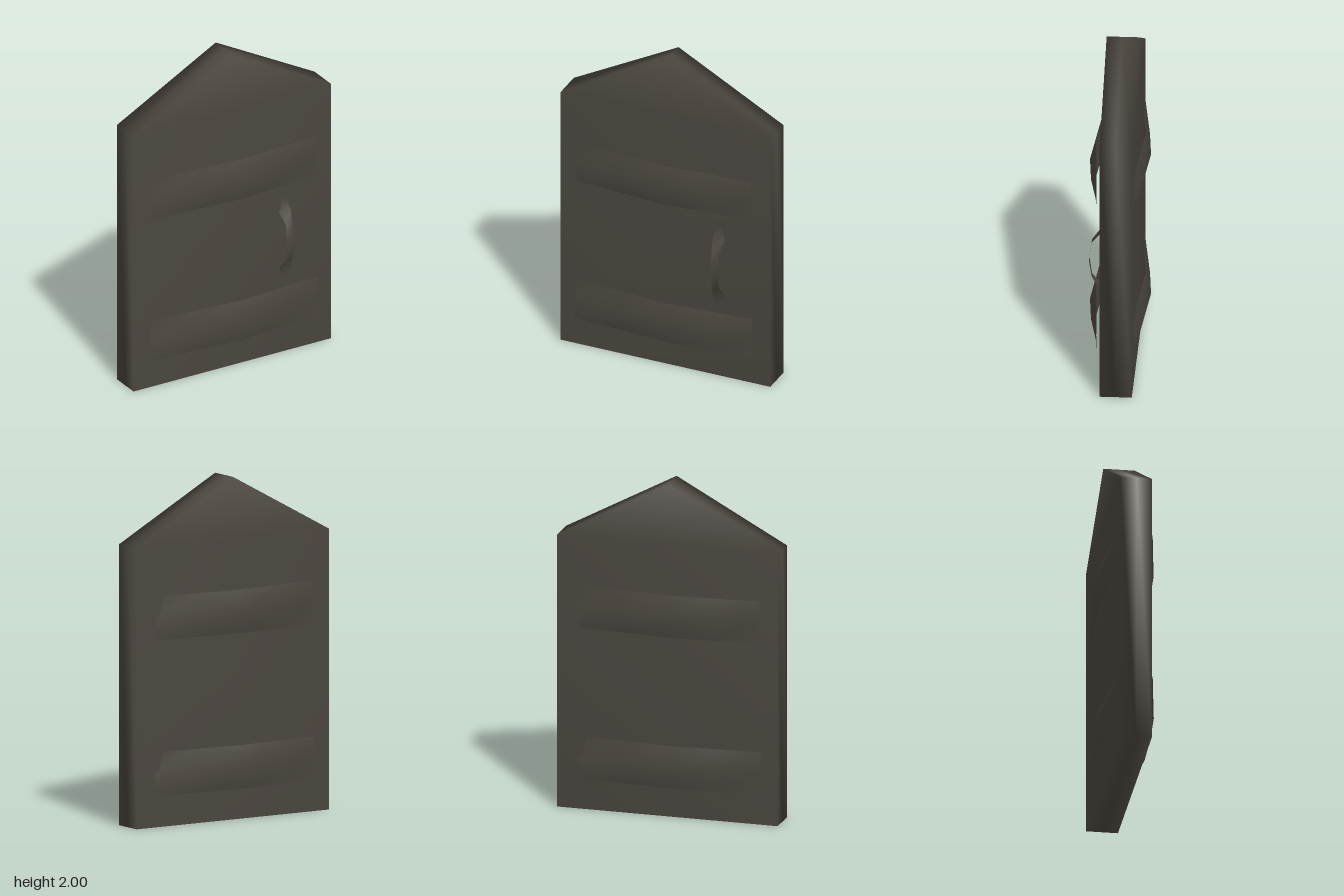
import * as THREE from 'three';

const wood = new THREE.MeshStandardMaterial({ color: 0x4b463f });
wood.name = 'darkWood';
const iron = new THREE.MeshStandardMaterial({ color: 0x4b463f, side: THREE.DoubleSide });
iron.name = 'darkIron';

// Smooth indexed mesh from points and triangles
function makeMesh(name, points, index, material) {
  const geo = new THREE.BufferGeometry();
  geo.setAttribute('position', new THREE.Float32BufferAttribute(points.flat(), 3));
  geo.setIndex(index);
  geo.computeVertexNormals();
  const mesh = new THREE.Mesh(geo, material);
  mesh.name = name;
  return mesh;
}

// Open sheet facing +z: rows run bottom to top, points in a row run left to right
function makeSheet(name, rows) {
  const n = rows[0].length, index = [];
  for (let r = 0; r < rows.length - 1; r++) {
    for (let c = 0; c < n - 1; c++) {
      const a = r * n + c, b = a + n;
      index.push(a, a + 1, b + 1, a, b + 1, b);
    }
  }
  return makeMesh(name, rows.flat(), index, iron);
}

// Pointed slab: outline loops at the back, middle and front, softly shaded round the rim
function makePanel() {
  const outline = [[-0.665, 0], [0.665, 0], [0.665, 1.64], [0, 2], [-0.665, 1.64]];
  const depths = [-0.105, -0.01, 0.08];
  const n = outline.length, points = [], index = [];
  for (const z of depths) for (const [x, y] of outline) points.push([x, y, z]);
  for (let l = 0; l < 2; l++) {
    for (let i = 0; i < n; i++) {
      const a = l * n + i, b = l * n + (i + 1) % n;
      index.push(a, b, b + n, a, b + n, a + n);
    }
  }
  for (const [a, b, c] of [[0, 1, 2], [0, 2, 4], [4, 2, 3]]) {
    index.push(a, c, b, a + 2 * n, b + 2 * n, c + 2 * n);
  }
  return makeMesh('doorPanel', points, index, wood);
}

// Strap bowed along its length and across its height
function makeBand(name, yMid, halfLength) {
  const xs = [-1, -0.46, 0.07, 0.52, 1];
  const edgeZ = [0.1, 0.12, 0.142, 0.122, 0.105];
  const ridgeZ = [0.102, 0.151, 0.174, 0.153, 0.107];
  const row = (dy, zs) => xs.map((x, i) => [x * halfLength, yMid + dy, zs[i]]);
  return makeSheet(name, [row(-0.128, edgeZ), row(0, ridgeZ), row(0.128, edgeZ)]);
}

// Ribbon pull handle: y, z, half width
function makeHandle() {
  const profile = [
    [0.475, 0.1, 0.025], [0.56, 0.103, 0.039], [0.625, 0.145, 0.021], [0.73, 0.16, 0.026],
    [0.845, 0.145, 0.022], [0.91, 0.095, 0.039], [0.985, 0.088, 0.014],
  ];
  return makeSheet('pullHandle', profile.map(([y, z, w]) => [[0.345 - w, y, z], [0.345 + w, y, z]]));
}

export function createModel() {
  const model = new THREE.Group();
  model.name = 'door';
  model.add(makePanel(), makeHandle());
  // Two straps on the front, and the same turned round on the back
  for (const [side, angle] of [['front', 0], ['back', Math.PI]]) {
    const straps = new THREE.Group();
    straps.name = side + 'Straps';
    straps.add(makeBand('upperStrap', 1.217, 0.555), makeBand('lowerStrap', 0.308, 0.562));
    straps.rotation.y = angle;
    model.add(straps);
  }
  return model;
}
